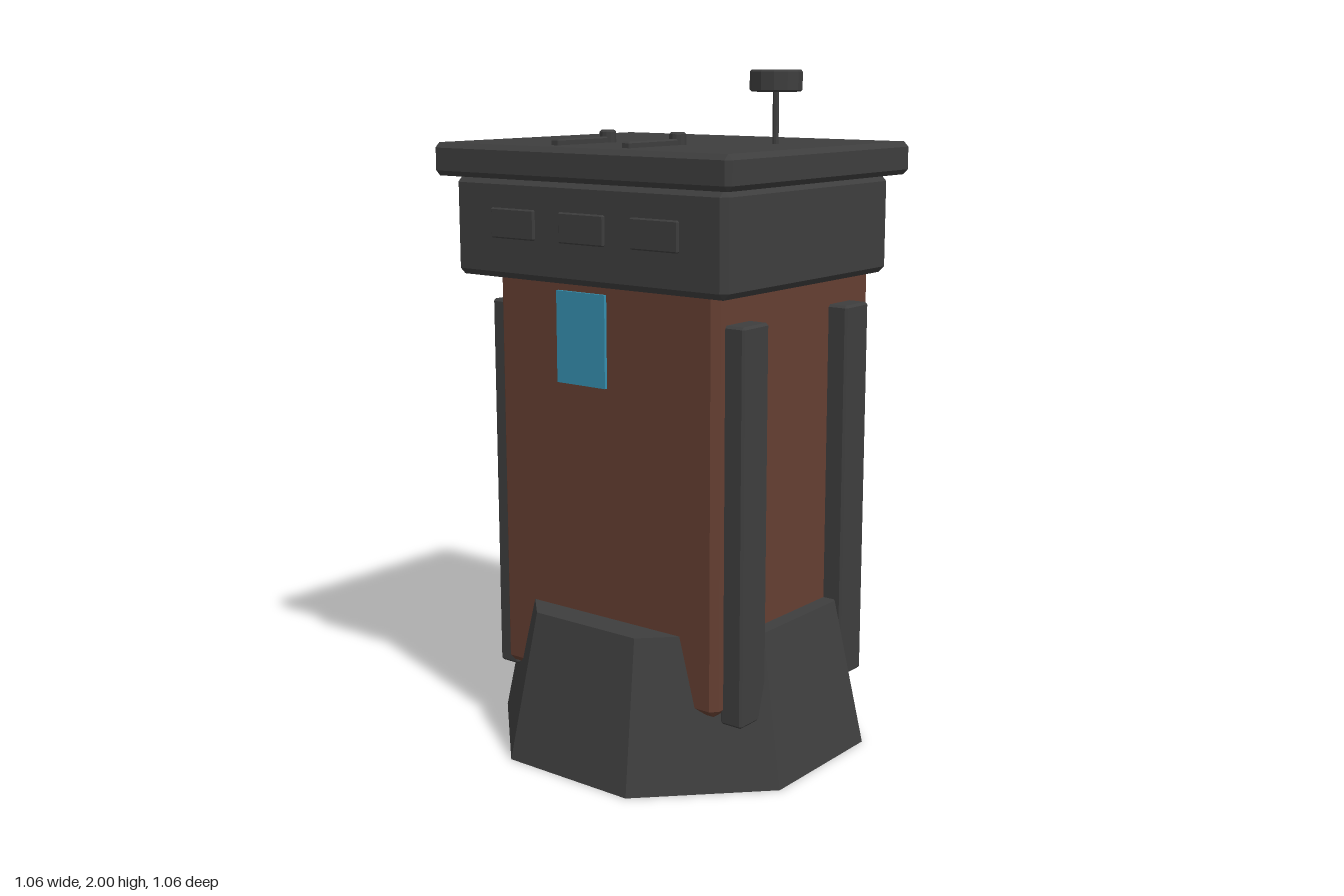
import * as THREE from 'three';
import { ConvexGeometry } from 'three/addons/geometries/ConvexGeometry.js';

// Box with every edge chamfered by c, given by its min and max corners
function chamferBox([x0, y0, z0], [x1, y1, z1], c) {
  const h = [(x1 - x0) / 2, (y1 - y0) / 2, (z1 - z0) / 2];
  const points = [];
  for (const sx of [-1, 1]) for (const sy of [-1, 1]) for (const sz of [-1, 1]) {
    for (let face = 0; face < 3; face++) {
      const p = h.map((v, i) => (i === face ? v : v - c));
      points.push(new THREE.Vector3(sx * p[0], sy * p[1], sz * p[2]));
    }
  }
  return new ConvexGeometry(points).translate((x0 + x1) / 2, (y0 + y1) / 2, (z0 + z1) / 2);
}

// Faceted turned part with a chamfered rim
function chamferDisc(radius, y0, y1, c, sides) {
  const profile = [[0, y0], [radius - c, y0], [radius, y0 + c], [radius, y1 - c], [radius - c, y1], [0, y1]];
  return new THREE.LatheGeometry(profile.map(([x, y]) => new THREE.Vector2(x, y)), sides);
}

export function createModel() {
  const group = new THREE.Group();
  const material = (name, color) => {
    const m = new THREE.MeshStandardMaterial({ color, flatShading: true });
    m.name = name;
    return m;
  };
  const grey = material('dark grey', 0x3e3e3e);
  const brown = material('rust brown', 0x653f32);
  const blue = material('blue', 0x3690b0);

  const add = (name, geometry, mat, x = 0, y = 0, z = 0) => {
    const mesh = new THREE.Mesh(geometry, mat);
    mesh.name = name;
    mesh.position.set(x, y, z);
    group.add(mesh);
    return mesh;
  };

  // Octagonal tapered base with flat sides facing the axes
  const k = 1 / Math.cos(Math.PI / 8);
  const base = new THREE.CylinderGeometry(0.445 * k, 0.53 * k, 0.44, 8).rotateY(Math.PI / 8);
  add('base', base, grey, 0, 0.22, 0);

  // Main cabinet
  add('body', chamferBox([-0.4, 0.22, -0.415], [0.4, 1.49, 0.355], 0.02), brown);

  // Upright rails, two on each side
  for (const [side, s] of [['left', 1], ['right', -1]]) {
    for (const [end, z0, z1] of [['Front', 0.197, 0.316], ['Back', -0.311, -0.192]]) {
      const x0 = Math.min(0.388 * s, 0.462 * s);
      add(side + end + 'Rail', chamferBox([x0, 0.195, z0], [x0 + 0.074, 1.33, z1], 0.007), grey);
    }
  }

  // Head and overhanging roof
  add('head', chamferBox([-0.487, 1.415, -0.37], [0.487, 1.7, 0.437], 0.018), grey);
  add('roof', chamferBox([-0.53, 1.7, -0.415], [0.53, 1.795, 0.48], 0.015), grey);

  // Raised panels across the front of the head
  for (const x of [-0.255, 0, 0.255]) {
    add('frontPanel', chamferBox([x - 0.082, 1.53, 0.42], [x + 0.082, 1.616, 0.445], 0.004), grey);
  }

  // Screen hanging below the head
  add('screen', new THREE.BoxGeometry(0.175, 0.26, 0.009), blue, 0, 1.27, 0.443);

  // Roof bars, each with a stud at its inner end
  for (const x of [-0.128, 0.126]) {
    add('roofBar', chamferBox([x - 0.015, 1.775, 0.17], [x + 0.015, 1.812, 0.4], 0.004), grey);
    add('roofStud', chamferDisc(0.024, 1.77, 1.83, 0.005, 12), grey, x, 0, 0.171);
  }

  // Antenna
  add('antennaPole', new THREE.CylinderGeometry(0.009, 0.009, 0.17, 8), grey, 0.315, 1.865, -0.033);
  add('antennaCap', chamferDisc(0.074, 1.94, 2, 0.005, 12), grey, 0.315, 0, -0.033);

  return group;
}
